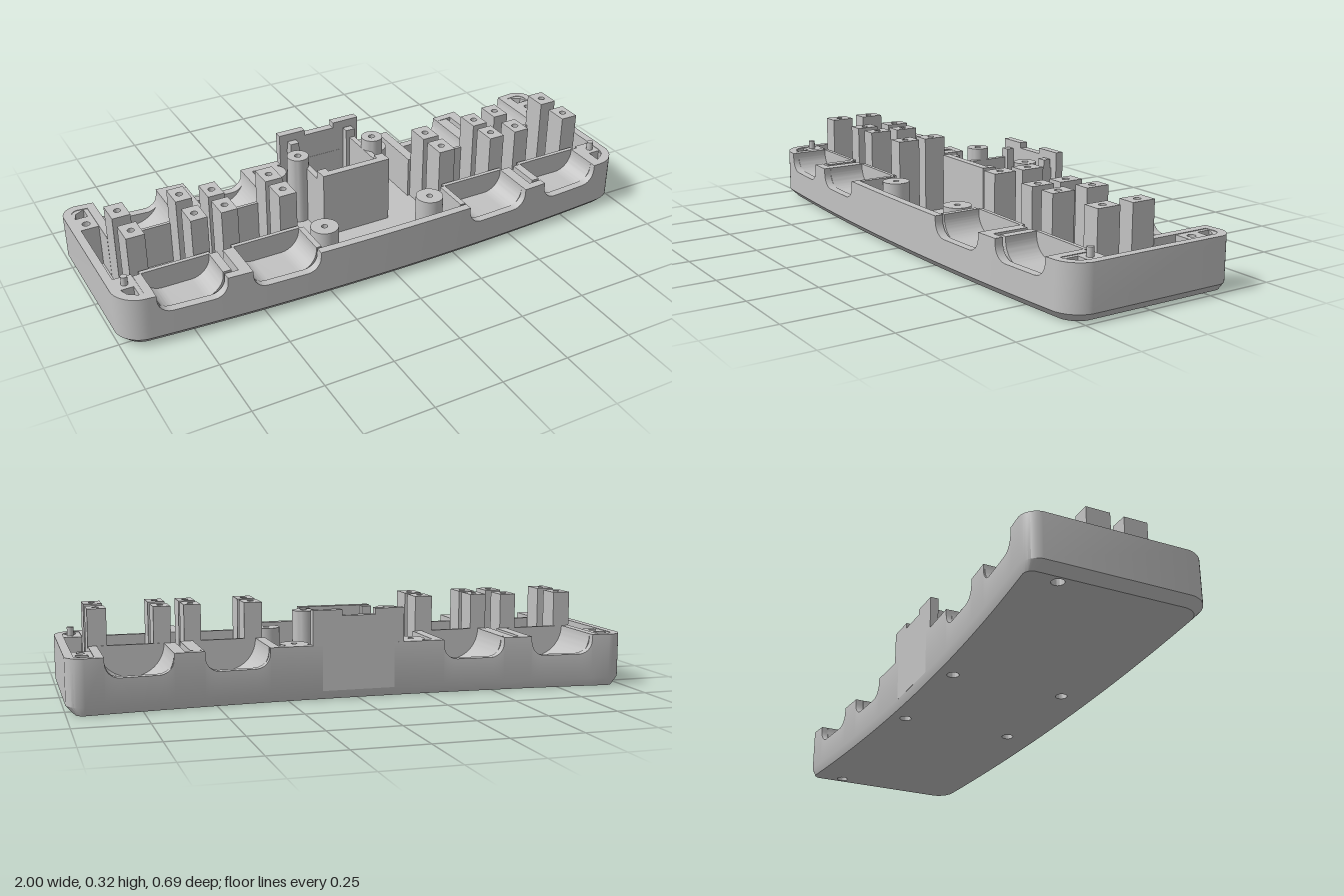
import * as THREE from 'three';
import { toCreasedNormals } from 'three/addons/utils/BufferGeometryUtils.js';

const RIM = 0.19, FLOOR = 0.03;
const frontNotches = [[0.3, 0.545], [0.635, 0.875]];
const backNotches = [[0.315, 0.54], [0.645, 0.875]];
const frontZ = x => 0.343 - 0.045 * x * x;
const backZ = x => -0.292 - 0.058 * x * x;

// Rim height at x: rounded cable openings cut down from the rim
function rimHeight(x, notches) {
  const r = 0.05, low = 0.12, ax = Math.abs(x);
  for (const [a, b] of notches) {
    const u = Math.min(ax - a, b - ax);
    if (u < -1e-6) continue;
    return u >= r ? low : low + r - Math.sqrt(Math.max(0, r * r - (r - u) ** 2));
  }
  return RIM;
}

// Sample positions along a long edge, dense at the openings
function samples(limit, notches) {
  const xs = [];
  for (let i = 0; i <= 30; i++) xs.push(-limit + (2 * limit * i) / 30);
  for (const [a, b] of notches) for (const s of [-1, 1]) {
    xs.push(s * (a - 0.0005), s * (b + 0.0005));
    for (let k = 0; k <= 6; k++) {
      const u = 0.05 * (1 - Math.cos((k / 6) * Math.PI / 2));
      xs.push(s * (a + u), s * (b - u));
    }
  }
  return xs.sort((p, q) => p - q).filter((x, i, all) => i === 0 || x - all[i - 1] > 1e-5);
}

// Plan outline inset by d, as {x, z, top}
function outline(d) {
  const pts = [];
  const arc = (cx, cz, r, from) => {
    for (let k = 1; k < 10; k++) {
      const a = from - (k / 10) * Math.PI / 2;
      pts.push({ x: cx + r * Math.cos(a), z: cz + r * Math.sin(a), top: RIM });
    }
  };
  const fx = 0.9, bx = 0.94, fr = 0.1, br = 0.06;
  const fz = frontZ(fx) - fr, bz = backZ(bx) + br;
  for (const x of samples(fx, frontNotches)) pts.push({ x, z: frontZ(x) - d, top: rimHeight(x, frontNotches) });
  arc(fx, fz, fr - d, Math.PI / 2);
  arc(bx, bz, br - d, 0);
  for (const x of samples(bx, backNotches).reverse()) pts.push({ x, z: backZ(x) + d, top: rimHeight(x, backNotches) });
  arc(-bx, bz, br - d, -Math.PI / 2);
  arc(-fx, fz, fr - d, -Math.PI);
  return pts;
}

// Join closed rows of points with quads
function loft(rows) {
  const pos = [];
  for (let r = 0; r + 1 < rows.length; r++) {
    const A = rows[r], B = rows[r + 1], n = A.length;
    for (let i = 0; i < n; i++) {
      const j = (i + 1) % n;
      for (const p of [A[i], A[j], B[j], A[i], B[j], B[i]]) pos.push(...p);
    }
  }
  const g = new THREE.BufferGeometry();
  g.setAttribute('position', new THREE.Float32BufferAttribute(pos, 3));
  return toCreasedNormals(g, 0.5);
}

const circle = (x, z, r) => new THREE.Path().absarc(x, -z, r, 0, Math.PI * 2, true);
function polygon(pts, Type = THREE.Shape) {
  const v = pts.map(([x, z]) => new THREE.Vector2(x, -z));
  return new Type(THREE.ShapeUtils.isClockWise(v) ? v.reverse() : v);
}

// Plan shape raised from y0 to y1
function raise(shape, holes, y0, y1) {
  shape.holes.push(...holes);
  const g = new THREE.ExtrudeGeometry(shape, { depth: y1 - y0, bevelEnabled: false, curveSegments: 14 });
  return toCreasedNormals(g.rotateX(-Math.PI / 2).translate(0, y0, 0), 0.6);
}

export function createModel() {
  const group = new THREE.Group();
  const grey = new THREE.MeshStandardMaterial({ color: 0xc2c2c2 });
  grey.name = 'light grey plastic';
  const add = (name, geo) => {
    const m = new THREE.Mesh(geo, grey);
    m.name = name;
    group.add(m);
  };
  const box = (name, x0, x1, y0, y1, z0, z1) => add(name,
    new THREE.BoxGeometry(Math.abs(x1 - x0), y1 - y0, z1 - z0)
      .translate((x0 + x1) / 2, (y0 + y1) / 2, (z0 + z1) / 2));
  const tube = (name, x, z, r, bore, y0, y1) => add(name,
    raise(new THREE.Shape().absarc(x, -z, r, 0, Math.PI * 2), [circle(x, z, bore)], y0, y1));

  // Outer wall with openings; the chamfered foot is steeper at the back
  const outer = outline(0), inner = outline(0.03);
  const foot = inner.map(p => [p.x, p.z - 0.018 * Math.min(1, Math.max(0, -p.z / 0.25))]);
  add('outerWall', loft([
    foot.map(([x, z]) => [x, 0, z]),
    outer.map(p => [p.x, FLOOR, p.z]),
    outer.map(p => [p.x, p.top, p.z]),
    inner.map(p => [p.x, p.top, p.z]),
    inner.map(p => [p.x, FLOOR, p.z]),
  ]));

  // Floor with six screw holes
  const screws = [];
  for (const s of [-1, 1]) for (const [x, z] of [[0.94, -0.215], [0.214, -0.225], [0.214, 0.197]]) screws.push(circle(s * x, z, 0.021));
  add('floor', raise(polygon(foot), screws, 0, FLOOR));

  // Block with a rounded trough running front to back
  function cradle(name, s, [x0, x1], [a, b], low, r, z0, z1) {
    const sh = new THREE.Shape();
    sh.moveTo(x0, FLOOR).lineTo(x1, FLOOR).lineTo(x1, RIM).lineTo(b, RIM).lineTo(b, low + r);
    sh.absarc(b - r, low + r, r, 0, -Math.PI / 2, true);
    sh.absarc(a + r, low + r, r, -Math.PI / 2, -Math.PI, true);
    sh.lineTo(a, RIM).lineTo(x0, RIM).closePath();
    const pts = sh.getPoints(12).map(p => new THREE.Vector2(s * p.x, p.y));
    const g = new THREE.ExtrudeGeometry(new THREE.Shape(pts), { depth: z1 - z0, bevelEnabled: false });
    add(name, toCreasedNormals(g.translate(0, 0, z0), 0.6));
  }

  for (const s of [-1, 1]) {
    // Cable cradles, with a slot left between neighbours
    const spans = [[0.28, 0.585], [0.605, 0.905]];
    const frontEnd = [0.303, 0.285], backStart = [-0.278, -0.312], backEnd = [-0.065, -0.09];
    spans.forEach((span, i) => {
      const f = frontNotches[i], b = backNotches[i];
      cradle('frontCradle', s, span, f, 0.11, 0.07, 0.165, frontEnd[i]);
      cradle('backCradle', s, span, b, 0.078, (b[1] - b[0]) / 2 - 0.003, backStart[i], backEnd[i]);
      // End stops closing the troughs
      box('frontStop', s * (f[0] - 0.005), s * (f[1] + 0.005), FLOOR, RIM, 0.15, 0.165);
      box('backStop', s * b[0], s * b[1], FLOOR, RIM, backEnd[i], backEnd[i] + 0.012);
    });

    // Tall square posts with pilot holes
    const postX = [[[0.29, 0.355], [0.51, 0.57]], [[0.62, 0.68], [0.84, 0.905]]];
    const rows = [[[0.05, 0.137], [-0.065, 0.023]], [[0.05, 0.137], [-0.088, 0]]];
    postX.forEach((pair, i) => {
      for (const [x0, x1] of pair) for (const [z0, z1] of rows[i]) {
        const plan = polygon([[s * x0, z0], [s * x1, z0], [s * x1, z1], [s * x0, z1]]);
        add('clampPost', raise(plan, [circle(s * (x0 + x1) / 2, (z0 + z1) / 2, 0.012)], FLOOR, 0.318));
      }
      // Low step between the front posts
      box('cableStep', s * pair[0][1], s * pair[1][0], FLOOR, 0.1, 0.13, 0.15);
    });

    // Solid corners with pockets, screw hole and locating peg
    const edge = outline(0.02).filter(p => p.x > 0.905);
    const front = edge.filter(p => p.z > 0.15).map(p => [s * p.x, p.z]);
    const back = edge.filter(p => p.z < -0.2).map(p => [s * p.x, p.z]);
    const pocket = pts => polygon(pts.map(([x, z]) => [s * x, z]), THREE.Path);
    add('frontCorner', raise(polygon([[s * 0.905, 0.15], [s * 0.905, 0.285], ...front, [s * 0.98, 0.15]]),
      [pocket([[0.92, 0.22], [0.965, 0.22], [0.953, 0.25], [0.92, 0.272]])], FLOOR, RIM - 0.002));
    add('backCorner', raise(polygon([[s * 0.905, -0.18], [s * 0.98, -0.18], ...back, [s * 0.905, -0.318]]),
      [circle(s * 0.94, -0.215, 0.014), pocket([[0.92, -0.26], [0.965, -0.26], [0.955, -0.29], [0.92, -0.31]])],
      FLOOR, RIM - 0.002));
    add('locatingPeg', new THREE.CylinderGeometry(0.012, 0.012, 0.19, 16).translate(s * 0.942, 0.125, 0.192));

    // Round standoffs
    tube('backStandoff', s * 0.214, -0.225, 0.05, 0.011, FLOOR, RIM);
    tube('frontStandoff', s * 0.214, 0.197, 0.05, 0.011, FLOOR, RIM);
    tube('tallStandoff', s * 0.155, -0.13, 0.04, 0.012, FLOOR, 0.293);

    // Central tray sides and corner tabs
    box('traySide', s * 0.115, s * 0.135, FLOOR, 0.25, -0.265, 0.01);
    box('backTab', s * 0.1, s * 0.135, FLOOR, 0.283, -0.258, -0.23);
    box('frontTab', s * 0.1, s * 0.135, FLOOR, 0.283, -0.015, 0.015);
    box('raisedWallEnd', s * 0.06, s * 0.165, FLOOR, 0.311, -0.293, -0.263);
  }

  // Central tray front and raised back wall
  box('trayFront', -0.135, 0.135, FLOOR, 0.285, 0.01, 0.038);
  box('raisedBackWall', -0.06, 0.06, FLOOR, 0.29, -0.293, -0.263);
  return group;
}
